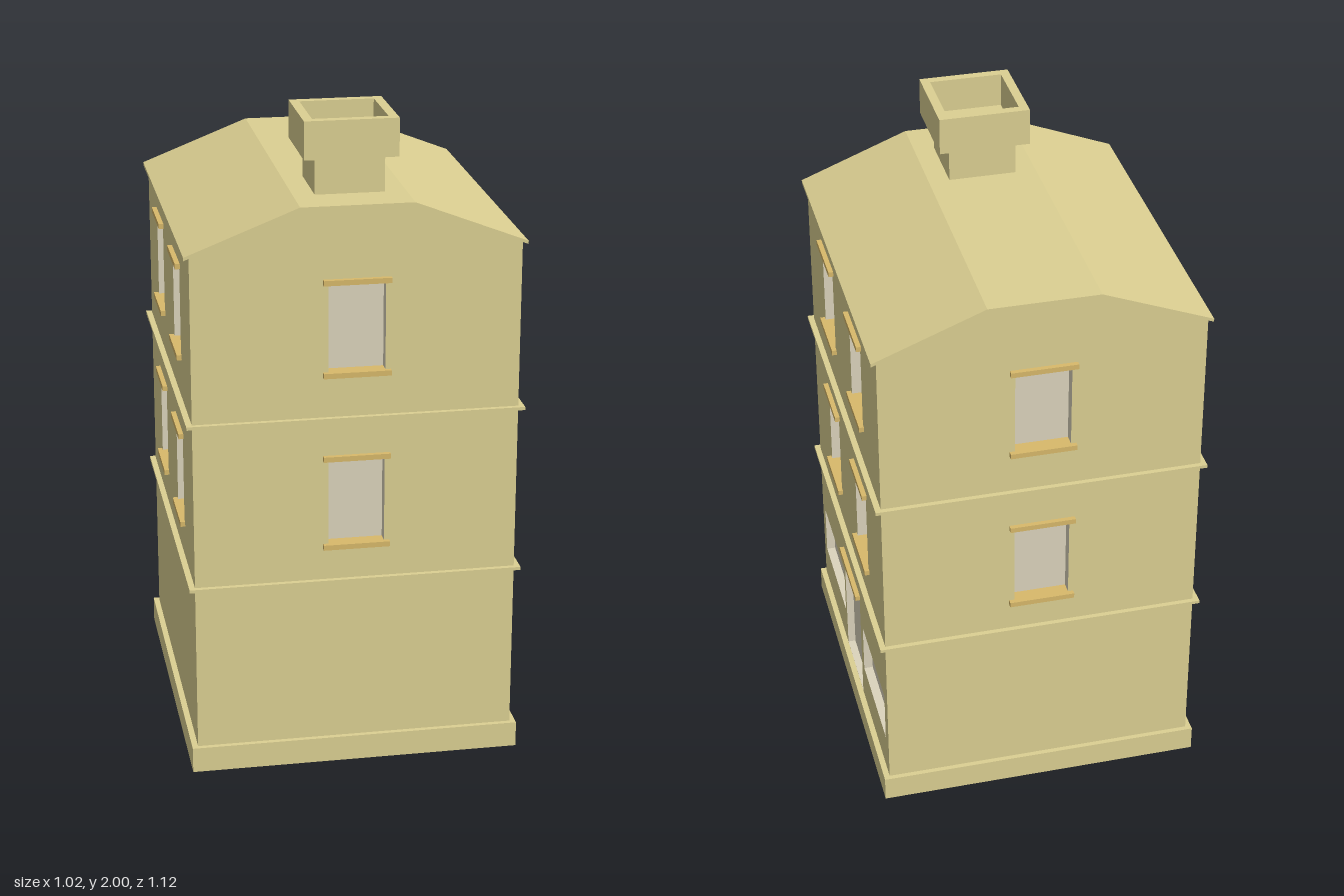
import * as THREE from 'three';

const wallMat = new THREE.MeshStandardMaterial({ color: 0xdcd092, flatShading: true });
const paneMat = new THREE.MeshStandardMaterial({ color: 0xdcd4bc, flatShading: true });
const trimMat = new THREE.MeshStandardMaterial({ color: 0xd8b96a, flatShading: true });

const HX = 0.49, HZ = 0.545, BASE = 0.08, EAVES = 1.64, RIDGE = 1.766;

function add(parent, name, geometry, material) {
  const mesh = new THREE.Mesh(geometry, material);
  mesh.name = name;
  parent.add(mesh);
  return mesh;
}

// Box given by its limits on each axis
function block(parent, name, [x0, x1], [y0, y1], [z0, z1], material) {
  const mesh = add(parent, name, new THREE.BoxGeometry(x1 - x0, y1 - y0, z1 - z0), material);
  mesh.position.set((x0 + x1) / 2, (y0 + y1) / 2, (z0 + z1) / 2);
  return mesh;
}

function polygon(points) {
  return new THREE.Shape(points.map(([x, y]) => new THREE.Vector2(x, y)));
}

function rect(x0, x1, y0, y1) {
  return polygon([[x0, y0], [x1, y0], [x1, y1], [x0, y1]]);
}

// Open-fronted box seen from inside: the reveals and pane of an opening
function nicheGeometry(w, h, d) {
  const g = new THREE.BoxGeometry(w, h, d);
  const index = Array.from(g.index.array);
  index.splice(24, 6); // drop the +z face
  g.setIndex(index.reverse());
  g.clearGroups();
  g.computeVertexNormals();
  return g;
}

// One wall in its own plane (z = 0 outside), with recessed openings and trims
function wall(name, outline, openings) {
  const group = new THREE.Group();
  group.name = name;
  const shape = polygon(outline);
  for (const { kind, x, y0, y1, w, depth, lintel, sill } of openings) {
    const x0 = x - w / 2, x1 = x + w / 2;
    shape.holes.push(rect(x0, x1, y0, y1));
    const niche = add(group, kind, nicheGeometry(w, y1 - y0, depth), paneMat);
    niche.position.set(x, (y0 + y1) / 2, -depth / 2);
    const over = kind === 'door' ? 0.006 : 0.016;
    const span = [x0 - over, x1 + over];
    if (lintel) block(group, kind + 'Lintel', span, [y1 - 0.008, y1 + 0.008], [-depth, 0.015], trimMat);
    if (sill) block(group, kind + 'Sill', span, [y0 - 0.008, y0 + 0.008], [-depth, 0.015], trimMat);
  }
  add(group, name + 'Face', new THREE.ShapeGeometry(shape), wallMat);
  return group;
}

const sashWindow = (x, y0, y1) =>
  ({ kind: 'window', x, y0, y1, w: 0.17, depth: 0.035, lintel: true, sill: true });
const shopWindow = (x) =>
  ({ kind: 'shopWindow', x, y0: 0.205, y1: 0.375, w: 0.345, depth: 0.028 });

export function createModel() {
  const model = new THREE.Group();
  model.name = 'townhouse';

  // Plinth and the two string courses
  for (const [name, y0, y1] of [['plinth', 0, BASE], ['lowerBand', 0.6, 0.61], ['upperBand', 1.12, 1.13]])
    block(model, name, [-0.508, 0.508], [y0, y1], [-0.56, 0.56], wallMat);

  // Walls
  const gable = [[-HX, BASE], [HX, BASE], [HX, EAVES], [0.17, RIDGE], [-0.17, RIDGE], [-HX, EAVES]];
  const side = [[-HZ, BASE], [HZ, BASE], [HZ, EAVES], [-HZ, EAVES]];
  const sideWindows = () => [-0.217, 0.217].flatMap((x) =>
    [sashWindow(x, 0.723, 1.01), sashWindow(x, 1.262, 1.546)]);

  const front = wall('frontWall', gable, [sashWindow(0, 0.717, 1.0), sashWindow(0, 1.262, 1.546)]);
  front.position.z = HZ;
  const back = wall('backWall', gable, [sashWindow(0, 0.708, 0.992), sashWindow(0, 1.262, 1.546)]);
  back.rotation.y = Math.PI;
  back.position.z = -HZ;
  const shop = wall('shopWall', side, [
    ...sideWindows(), shopWindow(-0.332), shopWindow(0.328),
    { kind: 'door', x: -0.01, y0: BASE + 0.001, y1: 0.473, w: 0.258, depth: 0.024, lintel: true },
  ]);
  shop.rotation.y = Math.PI / 2;
  shop.position.x = HX;
  const plain = wall('leftoverSideWall', side, sideWindows());
  plain.name = 'plainSideWall';
  plain.rotation.y = -Math.PI / 2;
  plain.position.x = -HX;
  model.add(front, back, shop, plain);

  // Thin three-sided roof sheet
  const t = 0.008;
  const roofShape = polygon([
    [-0.506, EAVES - t], [-0.168, RIDGE - t / 2], [0.168, RIDGE - t / 2], [0.506, EAVES - t],
    [0.506, EAVES + 0.002], [0.168, RIDGE + t], [-0.168, RIDGE + t], [-0.506, EAVES + 0.002],
  ]);
  const roof = add(model, 'roof',
    new THREE.ExtrudeGeometry(roofShape, { depth: 1.1, bevelEnabled: false }), wallMat);
  roof.position.z = -0.55;

  // Chimney: shaft with a hollow cap
  block(model, 'chimneyShaft', [-0.104, 0.104], [1.76, 1.89], [0.205, 0.42], wallMat);
  const capShape = rect(-0.14, 0.14, -0.14, 0.14);
  capShape.holes.push(rect(-0.112, 0.112, -0.112, 0.112));
  const cap = add(model, 'chimneyCap',
    new THREE.ExtrudeGeometry(capShape, { depth: 0.115, bevelEnabled: false }), wallMat);
  cap.rotation.x = -Math.PI / 2;
  cap.position.set(0, 1.885, 0.311);
  block(model, 'chimneyFloor', [-0.113, 0.113], [1.886, 1.895], [0.198, 0.424], wallMat);

  return model;
}
